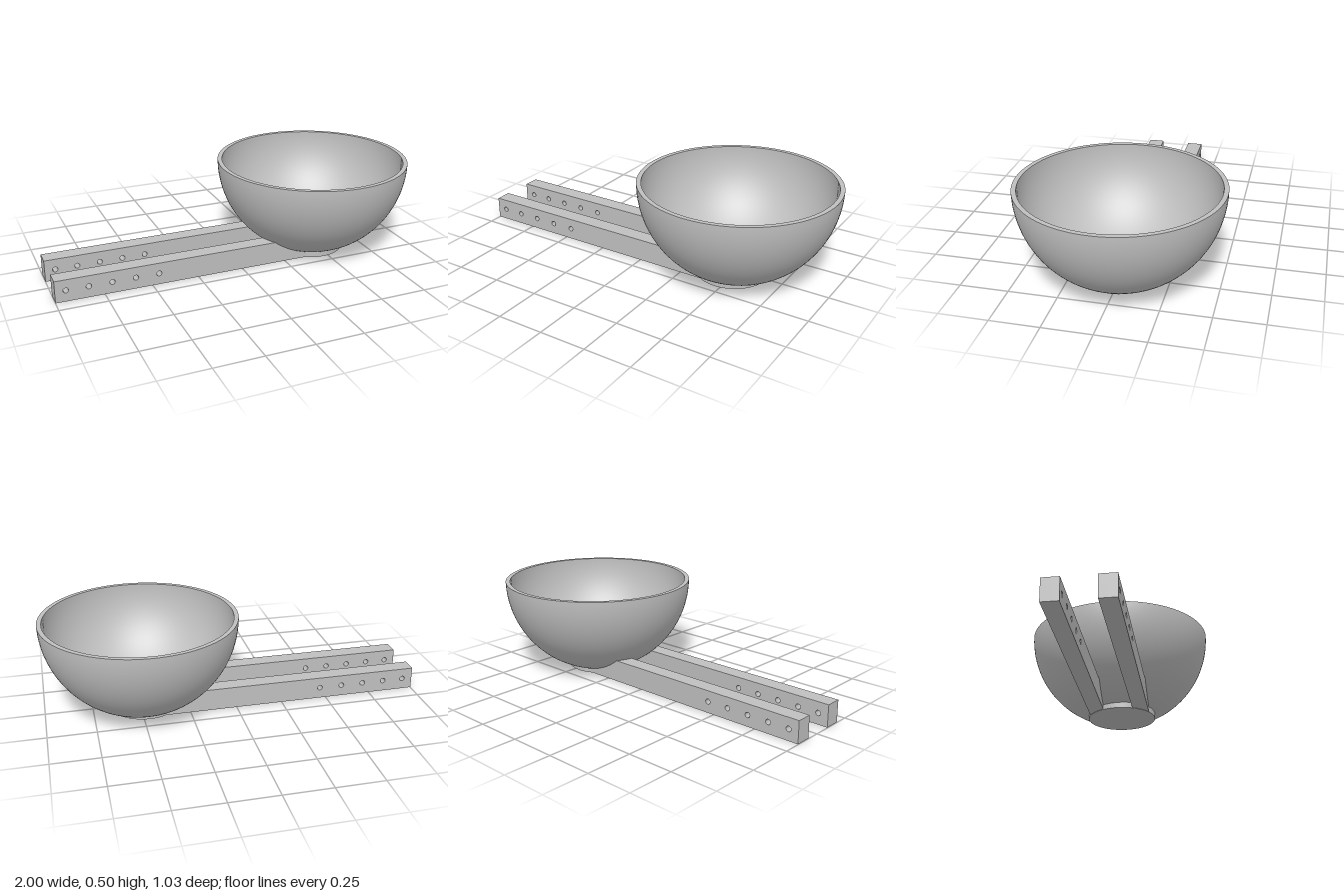
import * as THREE from 'three';
import { toCreasedNormals } from 'three/addons/utils/BufferGeometryUtils.js';

const CX = 0.484, RIM_Y = 0.504, R_OUT = 0.516, R_IN = 0.492;

// x of the bowl wall's mid surface on the handle side, at a height and depth
function wallX(y, z) {
  const r = (R_OUT + R_IN) / 2;
  return CX - Math.sqrt(Math.max(0, r * r - (RIM_Y - y) ** 2 - z * z));
}

// Hemispherical shell with a flat rim; the bottom opening is closed by the foot
function bowlGeometry() {
  const pts = [], n = 40;
  const arc = (r, t) => {
    const a0 = Math.asin(0.15 / r);
    const a = a0 + (Math.PI / 2 - a0) * t;
    return new THREE.Vector2(r * Math.sin(a), RIM_Y - r * Math.cos(a));
  };
  for (let i = 0; i <= n; i++) pts.push(arc(R_OUT, i / n));
  for (let i = n; i >= 0; i--) pts.push(arc(R_IN, i / n));
  return toCreasedNormals(new THREE.LatheGeometry(pts, 96), 0.6);
}

// Square bar with a row of cross holes, its end scribed to the bowl wall
function barGeometry(z0, z1) {
  const y0 = 0.002, y1 = 0.12, zMid = (z0 + z1) / 2, n = 12;
  const shape = new THREE.Shape();
  shape.moveTo(-1, y0);
  for (let i = 0; i <= n; i++) {
    const y = y0 + (y1 - y0) * i / n;
    shape.lineTo(wallX(y, zMid), y);
  }
  shape.lineTo(-1, y1);
  shape.closePath();
  for (const x of [-0.945, -0.83, -0.71, -0.588, -0.465]) {
    const hole = new THREE.Path();
    hole.absarc(x, 0.062, 0.014, 0, Math.PI * 2, true);
    shape.holes.push(hole);
  }
  const geo = new THREE.ExtrudeGeometry(shape, {
    depth: z1 - z0, steps: 6, bevelEnabled: false, curveSegments: 12,
  });
  geo.translate(0, 0, z0);
  const p = geo.attributes.position;
  for (let i = 0; i < p.count; i++) {
    if (p.getX(i) > 0) p.setX(i, wallX(p.getY(i), p.getZ(i)));
  }
  return toCreasedNormals(geo, 0.6);
}

export function createModel() {
  const model = new THREE.Group();
  model.name = 'scoopBowl';
  const grey = new THREE.MeshStandardMaterial({ color: 0xbfbfbf });
  grey.name = 'grey';

  const add = (name, geo, x = 0, y = 0, z = 0) => {
    const mesh = new THREE.Mesh(geo, grey);
    mesh.name = name;
    mesh.position.set(x, y, z);
    model.add(mesh);
  };

  add('bowl', bowlGeometry(), CX);
  // Foot disc, slightly off the bowl's axis, also forms the flat inner floor
  add('foot', new THREE.CylinderGeometry(0.19, 0.19, 0.06, 64), 0.47, 0.03, 0.0115);
  // Pair of handle bars
  add('frontBar', barGeometry(0.09, 0.176));
  add('backBar', barGeometry(-0.16, -0.074));
  return model;
}
